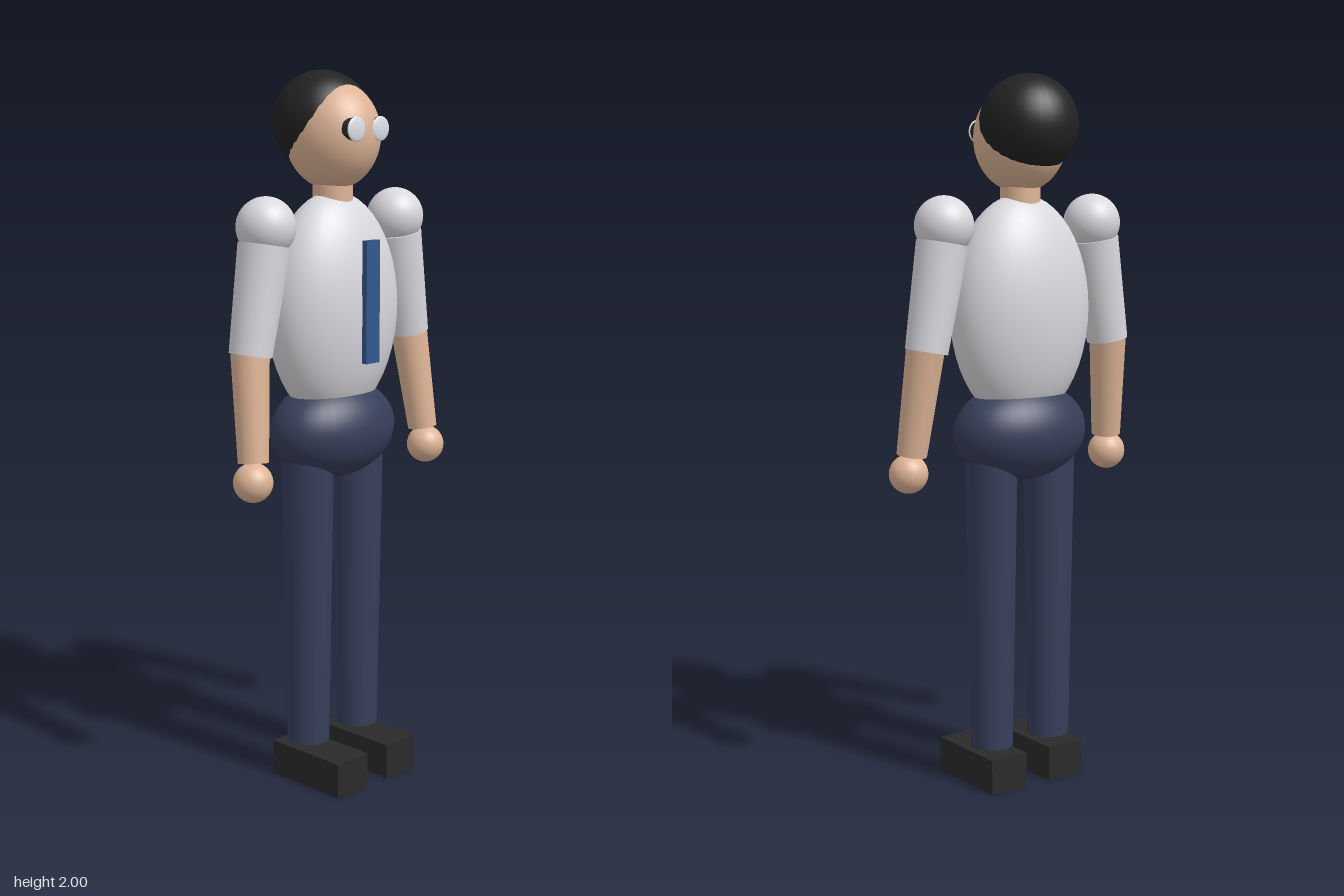
import * as THREE from 'three';

const mat = (name, color) => Object.assign(new THREE.MeshStandardMaterial({ color }), { name });

export function createModel() {
  const model = new THREE.Group();
  model.name = 'officeWorker';

  const skin = mat('skin', 0xdeb496);
  const shirt = mat('shirt', 0xd9d9de);
  const trousers = mat('trousers', 0x363e5a);
  const tieBlue = mat('tieBlue', 0x34588c);
  const shoeBlack = mat('shoeBlack', 0x2a2a2a);
  const hairBlack = mat('hairBlack', 0x222222);
  const lensWhite = mat('lensWhite', 0xdde1e8);

  const add = (name, geometry, material, x = 0, y = 0, z = 0) => {
    const mesh = new THREE.Mesh(geometry, material);
    mesh.name = name;
    mesh.position.set(x, y, z);
    model.add(mesh);
    return mesh;
  };

  // Ellipsoid from three radii
  const ball = (name, material, [x, y, z], [rx, ry, rz]) =>
    add(name, new THREE.SphereGeometry(1, 32, 24).scale(rx, ry, rz), material, x, y, z);

  // Tapered limb from point a (radius ra) to point b (radius rb)
  const limb = (name, material, a, ra, b, rb) => {
    const top = new THREE.Vector3(...a), end = new THREE.Vector3(...b);
    const axis = top.clone().sub(end);
    const mid = top.add(end).multiplyScalar(0.5);
    const mesh = add(name, new THREE.CylinderGeometry(ra, rb, axis.length(), 28), material, mid.x, mid.y, mid.z);
    mesh.quaternion.setFromUnitVectors(new THREE.Vector3(0, 1, 0), axis.normalize());
  };

  // Body and head
  ball('torso', shirt, [0, 1.355, 0], [0.217, 0.32, 0.14]);
  ball('hips', trousers, [0, 1.015, 0], [0.207, 0.14, 0.14]);
  limb('neck', skin, [0, 1.74, 0], 0.056, [0, 1.64, 0], 0.056);
  ball('head', skin, [0, 1.826, 0], [0.126, 0.148, 0.137]);
  ball('hair', hairBlack, [0, 1.863, -0.04], [0.136, 0.137, 0.138]);
  add('tie', new THREE.BoxGeometry(0.052, 0.335, 0.017), tieBlue, 0, 1.382, 0.145);

  for (const s of [1, -1]) {
    const side = s > 0 ? 'left' : 'right';

    // Round glasses: dark rim behind a shallow pale lens
    const rim = add(side + 'Rim', new THREE.CylinderGeometry(0.03, 0.03, 0.024, 24), shoeBlack, s * 0.047, 1.845, 0.12);
    rim.rotation.x = Math.PI / 2;
    ball(side + 'Lens', lensWhite, [s * 0.047, 1.845, 0.133], [0.033, 0.033, 0.007]);

    // Arm
    ball(side + 'Shoulder', shirt, [s * 0.253, 1.592, 0], [0.081, 0.081, 0.081]);
    limb(side + 'Sleeve', shirt, [s * 0.259, 1.545, 0], 0.072, [s * 0.313, 1.255, 0], 0.059);
    limb(side + 'Forearm', skin, [s * 0.315, 1.27, 0], 0.053, [s * 0.34, 0.972, 0.036], 0.042);
    ball(side + 'Hand', skin, [s * 0.347, 0.92, 0.042], [0.054, 0.054, 0.054]);

    // Leg and shoe
    limb(side + 'Leg', trousers, [s * 0.1, 0.97, 0], 0.074, [s * 0.1, 0.115, 0], 0.06);
    add(side + 'Shoe', new THREE.BoxGeometry(0.12, 0.1, 0.262), shoeBlack, s * 0.1, 0.05, 0.046);
  }
  return model;
}
